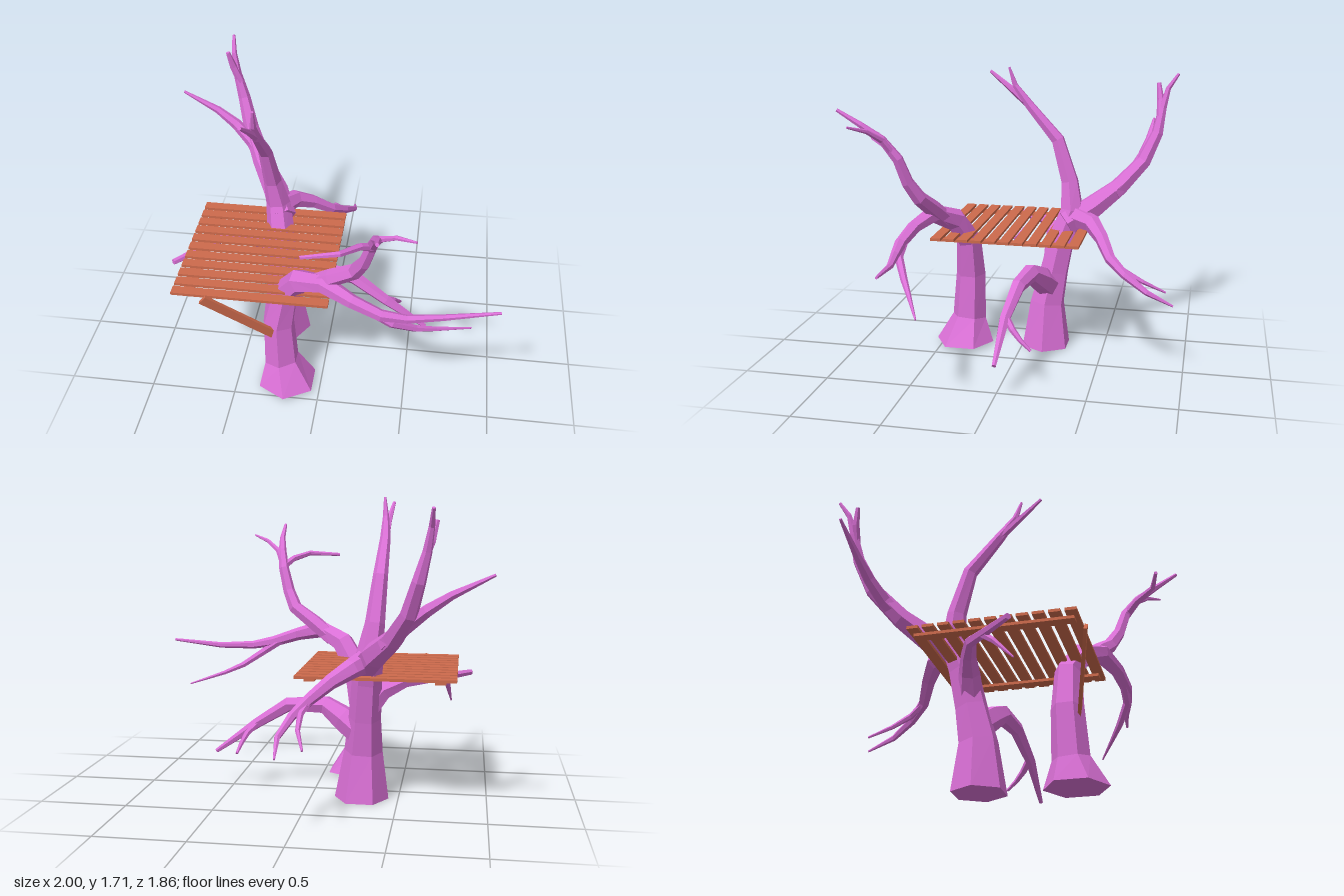
import * as THREE from 'three';

const bark = new THREE.MeshStandardMaterial({ color: 0xda70d6, flatShading: true });
const wood = new THREE.MeshStandardMaterial({ color: 0xcd6a4c, flatShading: true });

// Tapered faceted limb through [x, y, z, radius] stations
function limb(name, stations, { sides = 6, upright = false, turn = 0 } = {}) {
  const pts = stations.map(s => new THREE.Vector3(s[0], s[1], s[2]));
  const n = pts.length;
  const tangents = pts.map((p, i) => {
    const t = new THREE.Vector3();
    if (i > 0) t.add(p.clone().sub(pts[i - 1]).normalize());
    if (i < n - 1) t.add(pts[i + 1].clone().sub(p).normalize());
    return t.normalize();
  });
  if (upright) tangents[0].set(0, 1, 0);

  const u = new THREE.Vector3(0, 0, 1);
  if (Math.abs(tangents[0].z) > 0.8) u.set(1, 0, 0);
  u.addScaledVector(tangents[0], -u.dot(tangents[0])).normalize();
  const verts = [];
  pts.forEach((p, i) => {
    // carry the ring direction along the bend
    if (i > 0) u.applyQuaternion(new THREE.Quaternion().setFromUnitVectors(tangents[i - 1], tangents[i]));
    const v = tangents[i].clone().cross(u);
    for (let k = 0; k < sides; k++) {
      const a = turn + k / sides * Math.PI * 2;
      const q = p.clone().addScaledVector(u, Math.cos(a) * stations[i][3]).addScaledVector(v, Math.sin(a) * stations[i][3]);
      verts.push(q.x, q.y, q.z);
    }
  });
  pts[0].toArray(verts, verts.length);
  pts[n - 1].toArray(verts, verts.length);

  const index = [];
  for (let k = 0; k < sides; k++) {
    const m = (k + 1) % sides, top = (n - 1) * sides;
    for (let i = 0; i < n - 1; i++) {
      const a = i * sides + k, b = i * sides + m, c = a + sides, d = b + sides;
      index.push(a, b, d, a, d, c);
    }
    index.push(n * sides, m, k, n * sides + 1, top + k, top + m);
  }
  const g = new THREE.BufferGeometry();
  g.setAttribute('position', new THREE.Float32BufferAttribute(verts, 3));
  g.setIndex(index);
  const flat = g.toNonIndexed();
  flat.computeVertexNormals();
  const mesh = new THREE.Mesh(flat, bark);
  mesh.name = name;
  return mesh;
}

function board(name, w, h, d, x, y, z) {
  const mesh = new THREE.Mesh(new THREE.BoxGeometry(w, h, d), wood);
  mesh.name = name;
  mesh.position.set(x, y, z);
  return mesh;
}

function frontTree() {
  const tree = new THREE.Group();
  tree.name = 'frontTree';
  tree.add(
    // trunk bending over into the long side branch
    limb('frontTrunk', [
      [-0.2, 0.02, 0.36, 0.18], [-0.235, 0.17, 0.34, 0.105], [-0.245, 0.45, 0.33, 0.092],
      [-0.2, 0.68, 0.33, 0.078], [-0.11, 0.82, 0.39, 0.07], [0.04, 0.89, 0.48, 0.055],
      [0.2, 0.845, 0.55, 0.04], [0.36, 0.79, 0.58, 0.034], [0.5, 0.765, 0.565, 0.025],
      [0.7, 0.765, 0.525, 0.018], [1.0, 0.8, 0.49, 0.008]], { upright: true }),
    limb('lowerSideBranch', [
      [0.3, 0.81, 0.57, 0.028], [0.42, 0.73, 0.57, 0.025], [0.55, 0.645, 0.5, 0.02],
      [0.66, 0.6, 0.44, 0.014], [0.86, 0.54, 0.34, 0.005]]),
    limb('risingBranch', [
      [-0.04, 0.84, 0.43, 0.05], [0.08, 0.93, 0.47, 0.05], [0.21, 1.02, 0.51, 0.043], [0.26, 1.12, 0.56, 0.037],
      [0.3, 1.26, 0.6, 0.032], [0.325, 1.37, 0.68, 0.025], [0.345, 1.45, 0.79, 0.018], [0.35, 1.53, 0.925, 0.01]]),
    limb('outerTwig', [
      [0.3, 1.27, 0.61, 0.022], [0.35, 1.37, 0.67, 0.018], [0.43, 1.43, 0.73, 0.013], [0.53, 1.465, 0.8, 0.006]]),
    limb('innerTwig', [
      [0.31, 1.27, 0.61, 0.025], [0.25, 1.32, 0.68, 0.02], [0.16, 1.35, 0.79, 0.016], [-0.03, 1.34, 0.83, 0.01]]));
  return tree;
}

function backTree() {
  const tree = new THREE.Group();
  tree.name = 'backTree';
  tree.add(
    // trunk running on into the tall branch
    limb('backTrunk', [
      [-0.29, 0, -0.14, 0.155], [-0.3, 0.28, -0.145, 0.11], [-0.31, 0.48, -0.185, 0.092],
      [-0.325, 0.7, -0.23, 0.085], [-0.345, 0.86, -0.285, 0.075], [-0.37, 1.03, -0.265, 0.055],
      [-0.39, 1.28, -0.185, 0.042], [-0.4, 1.48, -0.01, 0.03], [-0.395, 1.6, 0.08, 0.018], [-0.386, 1.71, 0.115, 0.007]],
      { upright: true, turn: Math.PI / 6 }),
    limb('tallTwig', [
      [-0.4, 1.48, -0.01, 0.025], [-0.41, 1.58, 0.11, 0.019], [-0.43, 1.68, 0.24, 0.01]]),
    // rear branch and its forks
    limb('rearBranch', [
      [-0.31, 0.78, -0.25, 0.08], [-0.38, 0.87, -0.4, 0.075], [-0.49, 0.98, -0.55, 0.058],
      [-0.58, 1.13, -0.69, 0.047], [-0.63, 1.3, -0.765, 0.037], [-0.67, 1.45, -0.79, 0.025],
      [-0.69, 1.57, -0.82, 0.016], [-0.7, 1.66, -0.88, 0.009]]),
    limb('rearTwig', [[-0.65, 1.4, -0.78, 0.025], [-0.69, 1.5, -0.775, 0.022], [-0.715, 1.6, -0.76, 0.013]]),
    limb('rearSideBranch', [
      [-0.45, 0.95, -0.52, 0.05], [-0.56, 1.06, -0.63, 0.043], [-0.67, 1.15, -0.68, 0.034],
      [-0.79, 1.23, -0.705, 0.023], [-1.0, 1.335, -0.72, 0.008]]),
    // drooping back branch
    limb('droopingBranch', [
      [-0.34, 0.83, -0.28, 0.07], [-0.26, 0.8, -0.42, 0.055], [-0.16, 0.74, -0.49, 0.042],
      [-0.05, 0.65, -0.555, 0.033], [0.025, 0.58, -0.65, 0.025], [0.075, 0.5, -0.78, 0.017], [0.062, 0.425, -0.93, 0.006]]),
    limb('droopingTwig', [
      [-0.05, 0.64, -0.56, 0.022], [-0.02, 0.59, -0.64, 0.018], [-0.025, 0.53, -0.75, 0.013], [-0.07, 0.46, -0.88, 0.006]]),
    // low branch on the model's left
    limb('leftBranch', [
      [-0.29, 0.38, -0.16, 0.08], [-0.18, 0.46, -0.12, 0.075], [-0.07, 0.525, -0.08, 0.056], [0.15, 0.515, -0.05, 0.044],
      [0.35, 0.385, -0.015, 0.032], [0.6, 0.205, -0.01, 0.013]]),
    limb('leftTwig', [
      [0.34, 0.39, -0.02, 0.022], [0.395, 0.34, -0.07, 0.019], [0.42, 0.29, -0.12, 0.014], [0.435, 0.24, -0.18, 0.008]]),
    // branch below the platform on the model's right
    limb('rightBranch', [
      [-0.31, 0.52, -0.19, 0.075], [-0.41, 0.64, -0.17, 0.06], [-0.53, 0.69, -0.14, 0.042],
      [-0.66, 0.7, -0.09, 0.032], [-0.77, 0.695, 0.03, 0.025], [-0.895, 0.695, 0.17, 0.018]]),
    limb('rightTwig', [
      [-0.74, 0.69, 0, 0.022], [-0.765, 0.64, 0.06, 0.017], [-0.785, 0.525, 0.17, 0.005]]));
  return tree;
}

function platform() {
  const deck = new THREE.Group();
  deck.name = 'platform';
  for (let i = 0; i < 11; i++)
    deck.add(board('plank', 0.885, 0.016, 0.06, -0.38, 0.737, -0.355 + i * 0.0822));
  for (const x of [-0.735, -0.02])
    deck.add(board('rail', 0.06, 0.016, 0.84, x, 0.721, 0.055));

  // diagonal brace from the front trunk to the deck edge
  const low = new THREE.Vector3(-0.25, 0.4, 0.395), high = new THREE.Vector3(-0.64, 0.725, 0.51);
  const mid = low.clone().add(high).multiplyScalar(0.5);
  const brace = board('brace', 0.06, 0.018, low.distanceTo(high), mid.x, mid.y, mid.z);
  const along = high.clone().sub(low).normalize();
  const face = new THREE.Vector3(0, 0, 1).addScaledVector(along, -along.z).normalize();
  const across = face.clone().cross(along);
  brace.quaternion.setFromRotationMatrix(new THREE.Matrix4().makeBasis(across, face, across.clone().cross(face)));
  deck.add(brace);
  return deck;
}

export function createModel() {
  const model = new THREE.Group();
  model.name = 'treePlatform';
  model.add(frontTree(), backTree(), platform());
  return model;
}
